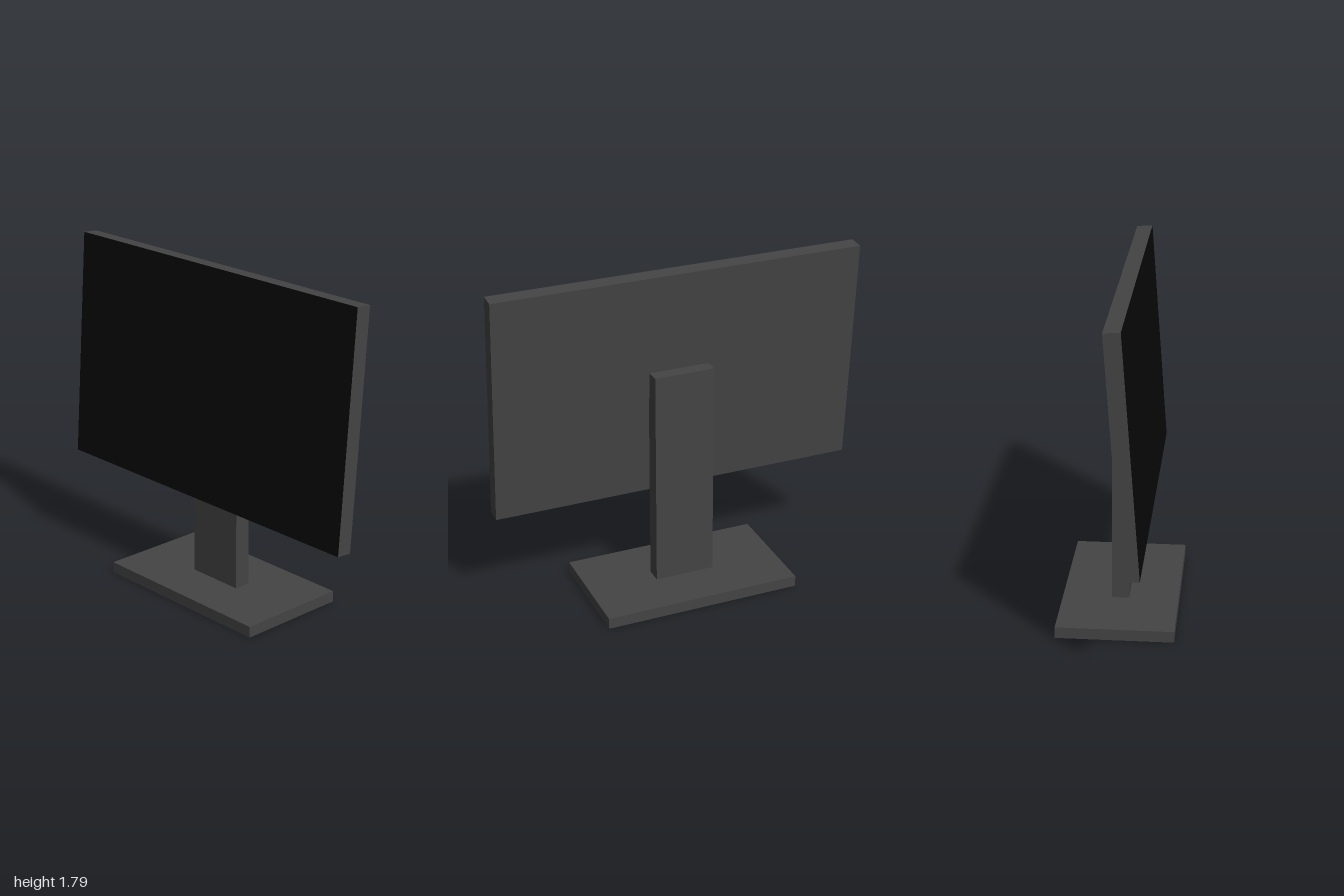
import * as THREE from 'three';

export function createModel() {
  const model = new THREE.Group();
  model.name = 'monitor';

  const casing = new THREE.MeshStandardMaterial({ color: 0x444444 });
  casing.name = 'dark grey casing';
  const display = new THREE.MeshStandardMaterial({ color: 0x080808 });
  display.name = 'black display';

  function addBox(name, size, position, material) {
    const mesh = new THREE.Mesh(new THREE.BoxGeometry(...size), material);
    mesh.name = name;
    mesh.position.set(...position);
    model.add(mesh);
    return mesh;
  }

  // Foot plate and upright column
  addBox('base', [0.612, 0.06, 1.074], [0, 0.03, 0], casing);
  addBox('column', [0.09, 1.19, 0.326], [0, 0.655, 0], casing);

  // Tilted panel; its whole -x face is the display
  const faces = [casing, display, casing, casing, casing, casing];
  const panel = addBox('screen', [0.085, 1.237, 2], [-0.078, 1.169, 0], faces);
  panel.rotation.z = -0.0727;

  return model;
}
